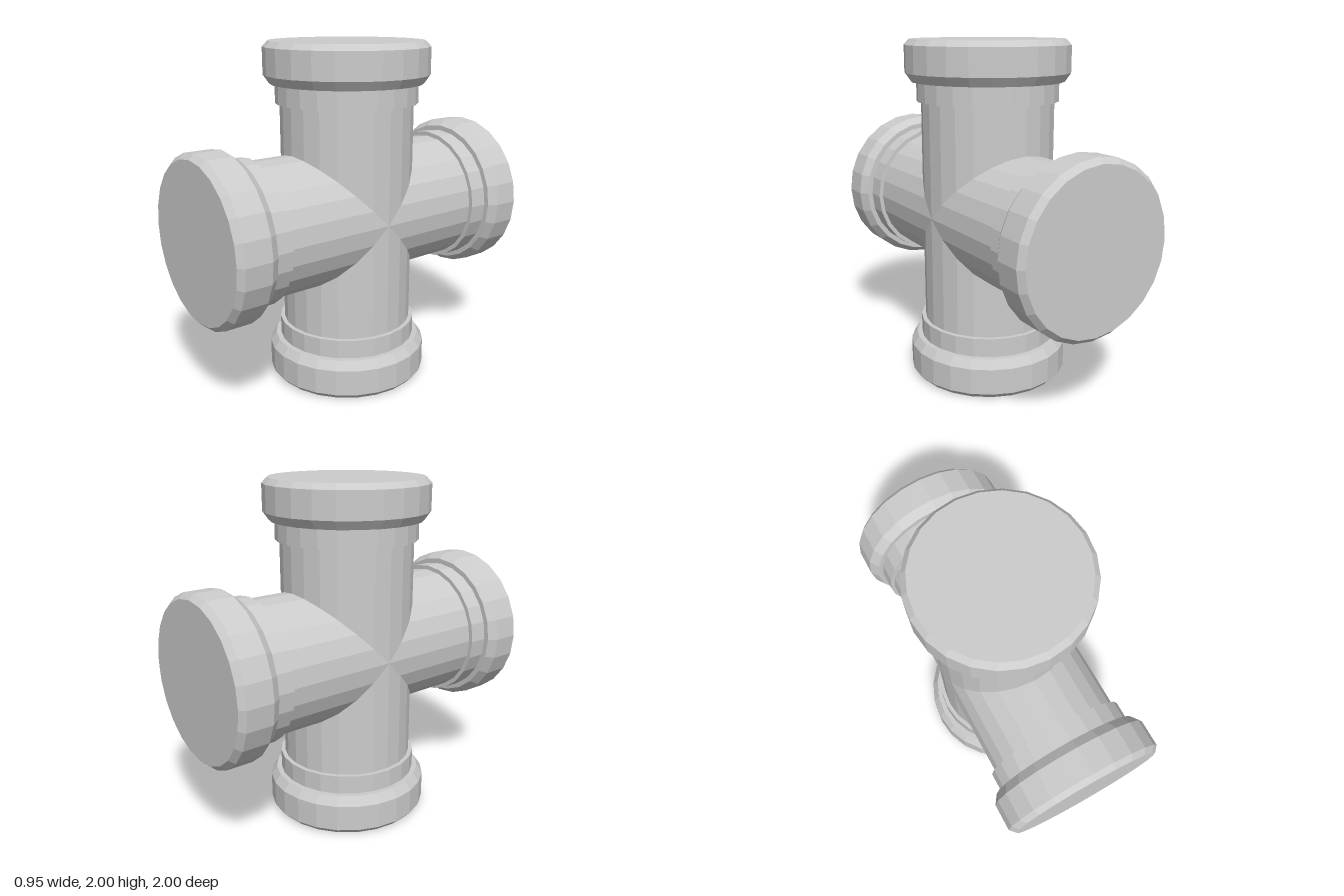
import * as THREE from 'three';

const SIDES = 24;

export function createModel() {
  const group = new THREE.Group();
  group.name = 'pipeCross';
  const material = new THREE.MeshStandardMaterial({ color: 0xcccccc, flatShading: true });

  // Turned solid around y, from [radius, height] pairs
  const lathe = (pairs) =>
    new THREE.LatheGeometry(pairs.map(([r, y]) => new THREE.Vector2(r, y)), SIDES);

  const pipeGeometry = new THREE.CylinderGeometry(0.385, 0.385, 1.4, SIDES, 1, true);
  const ringGeometry = lathe([[0.38, 0.655], [0.41, 0.655], [0.41, 0.77]]);
  // Bevelled socket closed by a flat end
  const socketGeometry = lathe([
    [0.38, 0.765], [0.44, 0.765], [0.475, 0.815],
    [0.475, 0.968], [0.445, 1], [0, 1],
  ]);

  const add = (parent, name, geometry) => {
    const mesh = new THREE.Mesh(geometry, material);
    mesh.name = name;
    parent.add(mesh);
    return mesh;
  };

  // Two equal pipes crossing at the centre
  add(group, 'verticalPipe', pipeGeometry).position.y = 1;
  const cross = add(group, 'horizontalPipe', pipeGeometry);
  cross.position.y = 1;
  cross.rotation.x = Math.PI / 2;

  // A ring and socket on each of the four ends
  ['top', 'front', 'bottom', 'back'].forEach((side, i) => {
    const end = new THREE.Group();
    end.name = side + 'End';
    end.position.y = 1;
    end.rotation.x = (i * Math.PI) / 2;
    add(end, side + 'Ring', ringGeometry);
    add(end, side + 'Socket', socketGeometry);
    group.add(end);
  });

  return group;
}
